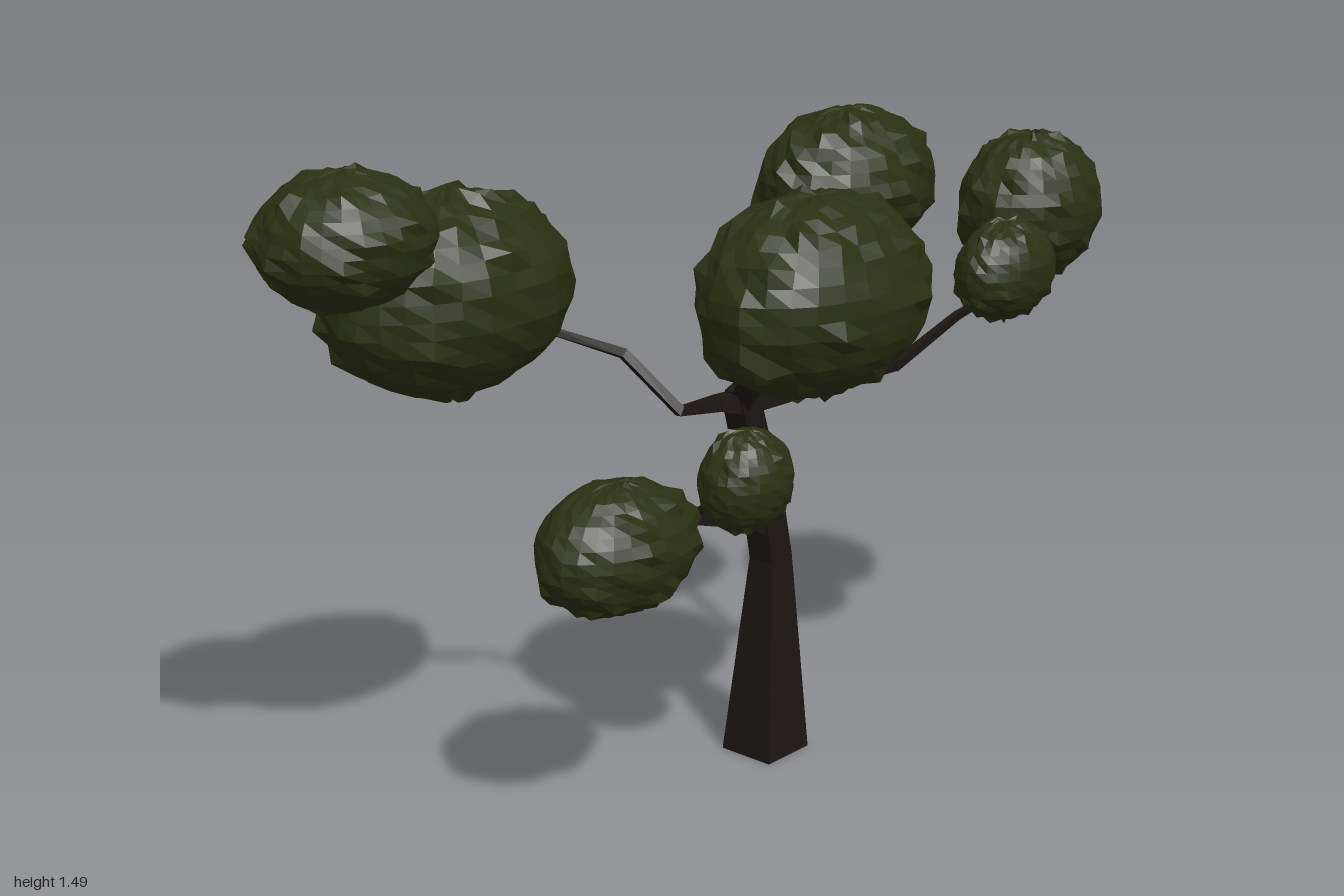
import * as THREE from 'three';

const bark = new THREE.MeshStandardMaterial({ color: 0x1c1612, flatShading: true });
const leaf = new THREE.MeshStandardMaterial({ color: 0x2a3012, flatShading: true });

// Repeatable 0..1 value for a point, so doubled seam vertices stay together
function hash(x, y, z) {
  const r = (n) => Math.round(n * 1000);
  const s = Math.sin(r(x) * 0.0127 + r(y) * 0.0783 + r(z) * 0.0377) * 43758.5453;
  return s - Math.floor(s);
}

// Square tapered limb through points given as [x, y, z, halfWidth]
function limb(name, nodes) {
  const pts = nodes.map((n) => new THREE.Vector3(n[0], n[1], n[2]));
  const pos = [];
  const index = [];
  const last = pts.length - 1;
  pts.forEach((p, i) => {
    const t = new THREE.Vector3();
    if (i > 0) t.add(p.clone().sub(pts[i - 1]).normalize());
    if (i < last) t.add(pts[i + 1].clone().sub(p).normalize());
    t.normalize();
    if (i === 0 && name === 'trunk') t.set(0, 1, 0);
    const u = new THREE.Vector3(1, 0, 0).addScaledVector(t, -t.x).normalize();
    const v = t.clone().cross(u);
    for (const [a, b] of [[-1, -1], [1, -1], [1, 1], [-1, 1]]) {
      const w = nodes[i][3];
      const q = p.clone().addScaledVector(u, a * w).addScaledVector(v, b * w);
      pos.push(q.x, q.y, q.z);
    }
  });
  for (let i = 0; i < last; i++) {
    for (let j = 0; j < 4; j++) {
      const a = i * 4 + j, b = i * 4 + ((j + 1) % 4);
      index.push(a, b, b + 4, a, b + 4, a + 4);
    }
  }
  const e = last * 4;
  index.push(0, 2, 1, 0, 3, 2, e, e + 1, e + 2, e, e + 2, e + 3);
  const g = new THREE.BufferGeometry();
  g.setAttribute('position', new THREE.Float32BufferAttribute(pos, 3));
  g.setIndex(index);
  g.computeVertexNormals();
  const mesh = new THREE.Mesh(g, bark);
  mesh.name = name;
  return mesh;
}

// Ragged ellipsoid of leaves
function clump(name, [cx, cy, cz], [rx, ry, rz]) {
  const g = new THREE.SphereGeometry(1, 28, 18);
  const p = g.attributes.position;
  const v = new THREE.Vector3();
  for (let i = 0; i < p.count; i++) {
    v.fromBufferAttribute(p, i);
    const h = hash(v.x + cx, v.y + cy, v.z + cz);
    // mostly shallow bumps, with a few leaf tips sticking out
    v.multiplyScalar(0.95 + 0.05 * h + (h > 0.93 ? 0.05 : 0));
    p.setXYZ(i, v.x * rx, v.y * ry, v.z * rz);
  }
  g.computeVertexNormals();
  const mesh = new THREE.Mesh(g, leaf);
  mesh.position.set(cx, cy, cz);
  mesh.name = name;
  return mesh;
}

export function createModel() {
  const tree = new THREE.Group();
  tree.name = 'tree';

  // Trunk and boughs
  const limbs = {
    trunk: [[-0.012, 0, -0.17, 0.07], [-0.01, 0.47, -0.183, 0.034],
      [-0.01, 0.61, -0.155, 0.033], [-0.004, 0.86, -0.075, 0.03], [0, 0.9, -0.06, 0.022]],
    lowerBough: [[-0.01, 0.55, -0.165, 0.03], [-0.01, 0.585, -0.1, 0.022], [-0.01, 0.64, 0.12, 0.009]],
    lowerFrontBranch: [[-0.01, 0.64, 0.11, 0.009], [0.02, 0.65, 0.22, 0.008], [0.07, 0.67, 0.36, 0.006]],
    lowerLeftBranch: [[-0.015, 0.638, 0.12, 0.009], [0.07, 0.69, 0.12, 0.008], [0.15, 0.75, 0.12, 0.006]],
    frontBough: [[0, 0.86, -0.08, 0.026], [-0.01, 0.875, 0, 0.016], [-0.012, 0.885, 0.12, 0.011],
      [-0.11, 1.01, 0.19, 0.01], [-0.2, 1.09, 0.36, 0.008]],
    leftBough: [[-0.005, 0.86, -0.08, 0.026], [0.06, 0.94, -0.03, 0.018], [0.2, 1.06, 0.03, 0.011]],
    backBough: [[-0.005, 0.865, -0.07, 0.026], [0.06, 0.88, -0.16, 0.018], [0.2, 0.922, -0.36, 0.01]],
    backUpperBranch: [[0.2, 0.92, -0.355, 0.011], [0.14, 1.03, -0.4, 0.01], [0.05, 1.2, -0.45, 0.008]],
    backOuterBranch: [[0.2, 0.92, -0.35, 0.01], [0.245, 1.01, -0.52, 0.008], [0.3, 1.06, -0.6, 0.006]],
  };
  for (const [name, nodes] of Object.entries(limbs)) tree.add(limb(name, nodes));

  // Leaf clumps: centre, radii
  const clumps = {
    leftFoliage: [[0.255, 1.165, -0.005], [0.208, 0.218, 0.308]],
    backFoliage: [[-0.015, 1.288, -0.445], [0.172, 0.175, 0.25]],
    farBackFoliage: [[0.24, 1.215, -0.803], [0.153, 0.173, 0.197]],
    smallBackFoliage: [[0.32, 1.115, -0.595], [0.095, 0.115, 0.148]],
    frontFoliage: [[-0.265, 1.187, 0.54], [0.205, 0.215, 0.31]],
    farFrontFoliage: [[-0.275, 1.343, 0.803], [0.175, 0.143, 0.197]],
    lowFoliage: [[0.07, 0.678, 0.408], [0.144, 0.144, 0.205]],
    smallLowFoliage: [[0.175, 0.773, 0.122], [0.093, 0.115, 0.12]],
  };
  for (const [name, [c, r]] of Object.entries(clumps)) tree.add(clump(name, c, r));

  return tree;
}
